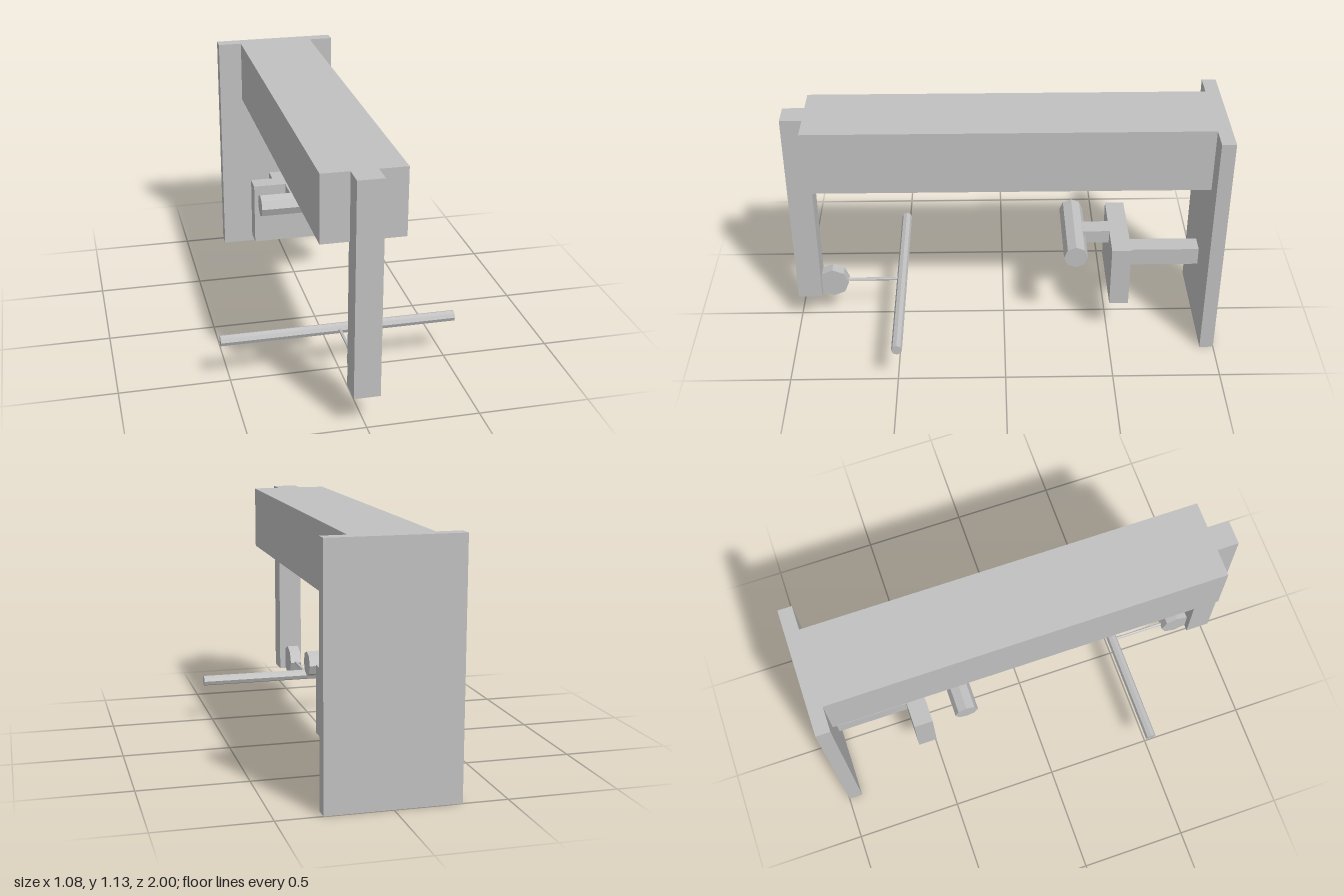
import * as THREE from 'three';

export function createModel() {
  const model = new THREE.Group();
  const grey = new THREE.MeshStandardMaterial({ color: 0xc0c0c0, flatShading: true });
  grey.name = 'plain grey';

  const add = (name, geometry, x, y, z) => {
    const mesh = new THREE.Mesh(geometry, grey);
    mesh.name = name;
    mesh.position.set(x, y, z);
    model.add(mesh);
  };

  // Box centred on x = 0, given by its half width and y and z limits
  const block = (name, halfWidth, y0, y1, z0, z1) =>
    add(name, new THREE.BoxGeometry(halfWidth * 2, y1 - y0, z1 - z0), 0, (y0 + y1) / 2, (z0 + z1) / 2);

  // Eight-sided bar lying along x, with a corner at the top
  const bar = (name, radius, halfLength, y, z) =>
    add(name, new THREE.CylinderGeometry(radius, radius, halfLength * 2, 8).rotateZ(Math.PI / 2), 0, y, z);

  // Main frame
  block('backPlate', 0.298, 0, 1.13, -1, -0.935);
  block('topBeam', 0.183, 0.825, 1.13, -0.935, 0.9);
  block('frontPost', 0.058, 0.147, 1.13, 0.885, 1);

  // Rear bracket carrying the padded roller
  block('rearStrut', 0.045, 0.31, 0.397, -0.935, -0.59);
  block('rearPad', 0.203, 0.198, 0.505, -0.59, -0.5);
  block('rollerArm', 0.042, 0.44, 0.505, -0.5, -0.36);
  bar('roller', 0.056, 0.203, 0.47, -0.333);

  // Front hub, thin rod and long handlebar
  bar('hub', 0.075, 0.028, 0.205, 0.83);
  add('rod', new THREE.CylinderGeometry(0.008, 0.008, 0.28, 8).rotateX(Math.PI / 2), 0, 0.206, 0.635);
  bar('handlebar', 0.025, 0.54, 0.205, 0.497);

  return model;
}
